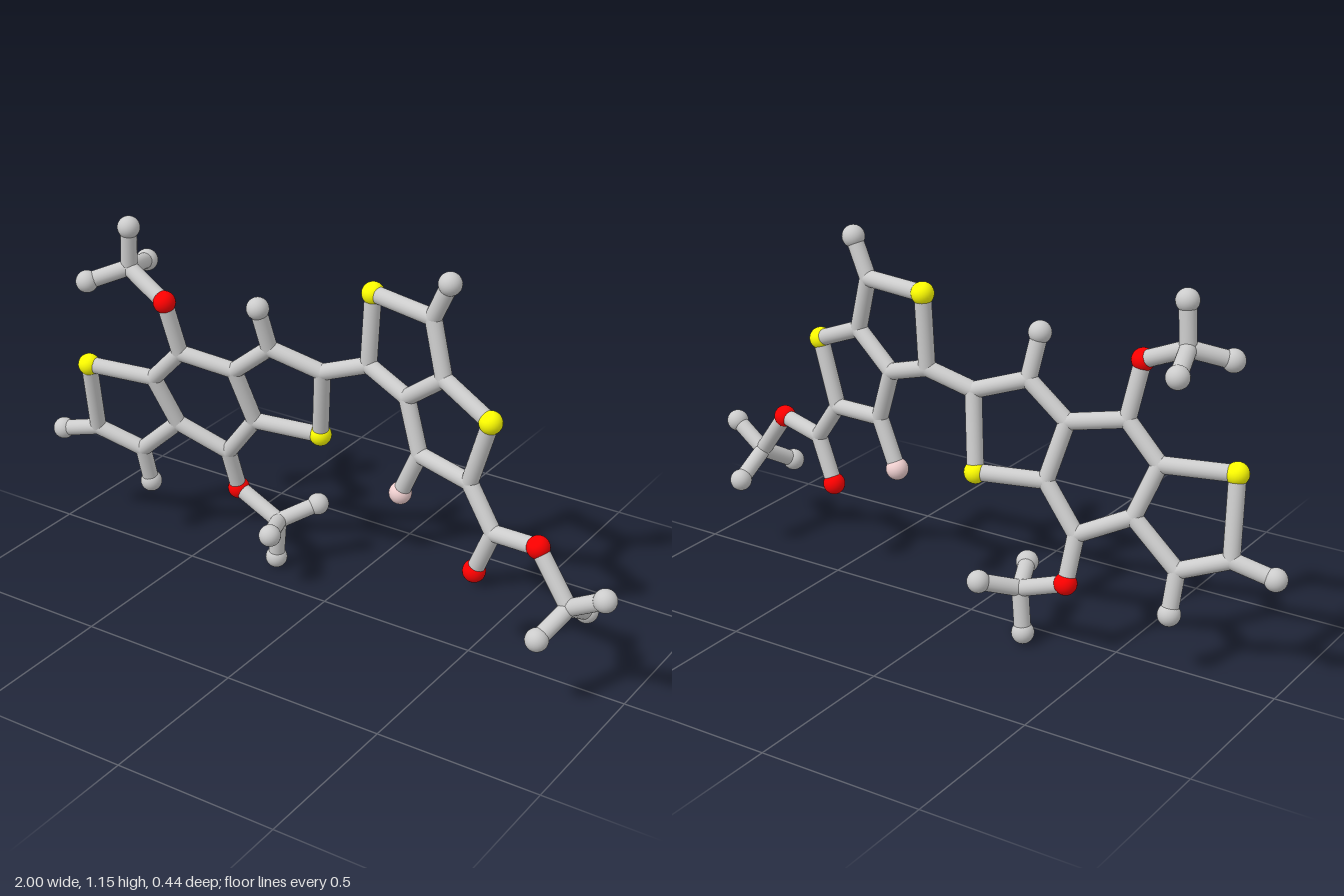
import * as THREE from 'three';

const BALL = 0.034, ROD = 0.025;

// Each fused ring system lies in a plane z = a + b*x + c*y
const leftPlane = (x, y) => [x, y, -0.223 - 0.191 * x + 0.214 * y];
const rightPlane = (x, y) => [x, y, -0.082 + 0.212 * x - 0.03 * y];

const ATOMS = {
  // left three-ring system
  s1: leftPlane(-0.823, 0.612), a1: leftPlane(-0.84, 0.375), a2: leftPlane(-0.695, 0.322),
  b1: leftPlane(-0.553, 0.45), b2: leftPlane(-0.607, 0.605), b3: leftPlane(-0.5, 0.715),
  b4: leftPlane(-0.33, 0.685), b5: leftPlane(-0.29, 0.512), b6: leftPlane(-0.397, 0.375),
  c1: leftPlane(-0.203, 0.787), c2: leftPlane(-0.045, 0.735), s2: leftPlane(-0.08, 0.505),
  h1: leftPlane(-0.967, 0.343), h2: leftPlane(-0.69, 0.197), h3: leftPlane(-0.22, 0.92),
  // upper side group
  o1: [-0.525, 0.885, 0.06], m1: [-0.675, 0.953, 0.032],
  h4: [-0.663, 1.085, 0.04], h5: [-0.772, 0.914, 0.113], h6: [-0.718, 0.922, -0.108],
  // lower side group
  o2: [-0.388, 0.235, -0.105], m2: [-0.228, 0.172, -0.09],
  h7: [-0.243, 0.037, -0.097], h8: [-0.147, 0.211, -0.187], h9: [-0.175, 0.194, 0.035],
  // right two-ring system
  d1: rightPlane(0.095, 0.782), s3: rightPlane(0.105, 1.005), d2: rightPlane(0.33, 1.0),
  d3: rightPlane(0.378, 0.832), d4: rightPlane(0.245, 0.732), s4: rightPlane(0.55, 0.76),
  e1: rightPlane(0.487, 0.555), e2: rightPlane(0.3, 0.572),
  h10: rightPlane(0.385, 1.115), f1: rightPlane(0.233, 0.425),
  // tail group
  g1: rightPlane(0.58, 0.432), o3: rightPlane(0.52, 0.288), o4: rightPlane(0.738, 0.452),
  m3: [0.85, 0.308, 0.083], h11: [0.965, 0.377, 0.1], h12: [0.81, 0.246, 0.186], h13: [0.853, 0.24, -0.03],
};

// Chains of connected atoms
const CHAINS = {
  leftOuterRing: 'b2 s1 a1 a2 b1',
  middleRing: 'b1 b2 b3 b4 b5 b6 b1',
  leftInnerRing: 'b4 c1 c2 s2 b5',
  linkRod: 'c2 d1',
  rightUpperRing: 'd1 s3 d2 d3 d4 d1',
  rightLowerRing: 'd3 s4 e1 e2 d4',
  upperArm: 'b3 o1 m1 h4', upperFork: 'h5 m1 h6',
  lowerArm: 'b6 o2 m2 h7', lowerFork: 'h8 m2 h9',
  tailArm: 'e1 g1 o4 m3 h11', tailFork: 'h12 m3 h13', tailBranch: 'g1 o3',
  stubA: 'a1 h1', stubB: 'a2 h2', stubC: 'c1 h3', stubD: 'd2 h10', stubE: 'e2 f1',
};

// Ball type by first letter; all other letters are plain rod joints
const BALLS = {
  h: ['hydrogenBall', 0xcccccc], s: ['sulfurBall', 0xffff00],
  o: ['oxygenBall', 0xff0000], f: ['fluorineBall', 0xf0d0d0],
};

export function createModel() {
  const model = new THREE.Group();
  const grey = new THREE.MeshStandardMaterial({ color: 0xcccccc });
  const materials = {};
  for (const k in BALLS) materials[k] = k === 'h' ? grey : new THREE.MeshStandardMaterial({ color: BALLS[k][1] });

  const ballGeometry = new THREE.SphereGeometry(BALL, 24, 16);
  const jointGeometry = new THREE.SphereGeometry(ROD, 20, 12);
  const rodGeometry = new THREE.CylinderGeometry(ROD, ROD, 1, 20, 1, true);
  const up = new THREE.Vector3(0, 1, 0);
  const point = (name) => new THREE.Vector3(...ATOMS[name]);

  // Balls and rod joints
  for (const name in ATOMS) {
    const type = BALLS[name[0]];
    const mesh = new THREE.Mesh(type ? ballGeometry : jointGeometry, type ? materials[name[0]] : grey);
    mesh.name = type ? type[0] : 'carbonJoint';
    mesh.position.copy(point(name));
    model.add(mesh);
  }

  // Rods along every chain
  for (const chain in CHAINS) {
    const group = new THREE.Group();
    group.name = chain;
    const names = CHAINS[chain].split(' ');
    for (let i = 1; i < names.length; i++) {
      const from = point(names[i - 1]), to = point(names[i]);
      const direction = to.clone().sub(from);
      const rod = new THREE.Mesh(rodGeometry, grey);
      rod.name = 'rod';
      rod.position.copy(from).add(to).multiplyScalar(0.5);
      rod.scale.y = direction.length();
      rod.quaternion.setFromUnitVectors(up, direction.normalize());
      group.add(rod);
    }
    model.add(group);
  }
  return model;
}
